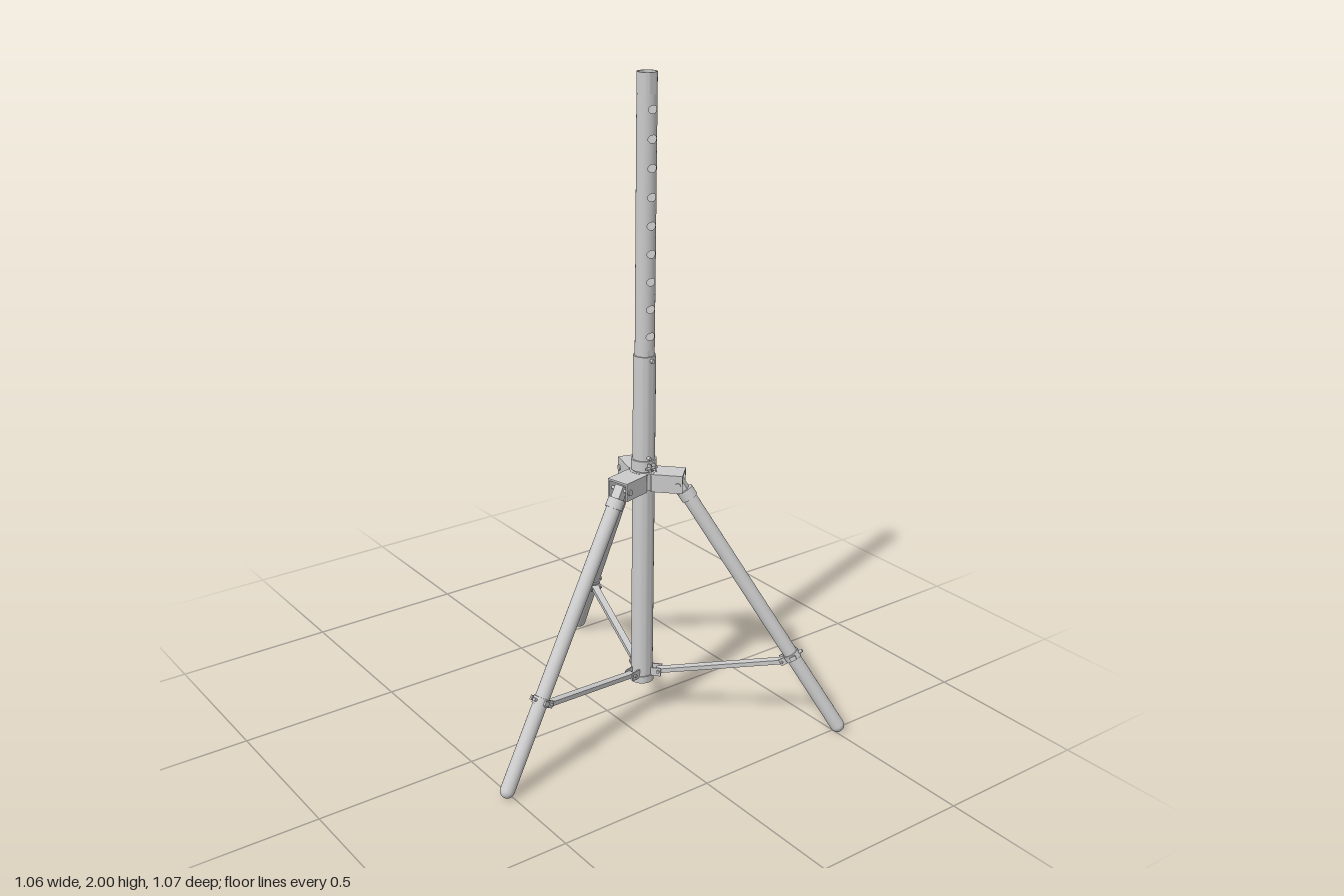
import * as THREE from 'three';
import { toCreasedNormals } from 'three/addons/utils/BufferGeometryUtils.js';
import { ParametricGeometry } from 'three/addons/geometries/ParametricGeometry.js';

const grey = new THREE.MeshStandardMaterial({ color: 0xcccccc });
const greyThin = new THREE.MeshStandardMaterial({ color: 0xcccccc, side: THREE.DoubleSide });

function add(parent, name, geometry, x = 0, y = 0, z = 0, material = grey) {
  const mesh = new THREE.Mesh(geometry, material);
  mesh.name = name;
  mesh.position.set(x, y, z);
  parent.add(mesh);
  return mesh;
}

// Hollow upright tube with crisp rims
function tube(rIn, rOut, y0, y1) {
  const profile = [[rIn, y0], [rOut, y0], [rOut, y1], [rIn, y1], [rIn, y0]];
  return toCreasedNormals(new THREE.LatheGeometry(profile.map(p => new THREE.Vector2(...p)), 40), 0.6);
}

// Inverted U channel running along +x from the origin, top face at y = 0
function channel(length, w, h, t) {
  const s = new THREE.Shape([
    [-w / 2, 0], [-w / 2, -h], [-w / 2 + t, -h], [-w / 2 + t, -t],
    [w / 2 - t, -t], [w / 2 - t, -h], [w / 2, -h], [w / 2, 0],
  ].map(p => new THREE.Vector2(...p)));
  return new THREE.ExtrudeGeometry(s, { depth: length, bevelEnabled: false }).rotateY(Math.PI / 2);
}

// Pin lying along z
const pin = (r, length) => new THREE.CylinderGeometry(r, r, length, 16).rotateX(Math.PI / 2);

// Patch of a cylinder wall around one oval hole
function holePatch(R, halfAngle, halfHeight, rx, ry) {
  return new ParametricGeometry((u, v, target) => {
    const c = Math.cos(-u * 2 * Math.PI), s = Math.sin(-u * 2 * Math.PI);
    const m = Math.max(Math.abs(c), Math.abs(s));
    const a = THREE.MathUtils.lerp(c * rx / R, c / m * halfAngle, v);
    const y = THREE.MathUtils.lerp(s * ry, s / m * halfHeight, v);
    target.set(R * Math.sin(a), y, R * Math.cos(a));
  }, 32, 4);
}

function createMast() {
  const mast = new THREE.Group();
  mast.name = 'mast';
  const R = 0.029, rIn = 0.0255, count = 9, first = 1.25, pitch = 0.0812, half = pitch / 2, w = 0.9;
  const low = first - half, high = first + (count - 0.5) * pitch;

  // Inner tube with a row of adjustment holes down the front
  add(mast, 'innerTubeBase', tube(rIn, R, 0.9, low));
  add(mast, 'innerTubeTop', tube(rIn, R, high, 2));
  add(mast, 'innerTubeWall', new THREE.CylinderGeometry(R, R, high - low, 40, 1, true, w, 2 * Math.PI - 2 * w),
    0, (low + high) / 2, 0, greyThin);
  const patch = holePatch(R, w, half, 0.015, 0.011);
  for (let i = 0; i < count; i++) add(mast, 'adjustmentHole', patch, 0, first + i * pitch, 0, greyThin);

  // Outer tube, its stop pin and collars
  add(mast, 'outerTube', tube(0.0292, 0.0335, 0.13, 1.19));
  for (const z of [-1, 1]) add(mast, 'stopPin', pin(0.006, 0.012), 0, 1.178, z * 0.037);
  add(mast, 'upperCollar', tube(0.033, 0.038, 0.835, 0.868));
  add(mast, 'bottomCollar', tube(0.029, 0.037, 0.125, 0.148));

  // Clamp lugs and bolt on the upper collar
  for (const x of [-0.011, 0.005])
    add(mast, 'clampLug', new THREE.BoxGeometry(0.004, 0.022, 0.018), x, 0.851, 0.044);
  add(mast, 'clampBolt', pin(0.004, 0.04).rotateY(Math.PI / 2), -0.006, 0.851, 0.047);
  add(mast, 'lockPin', pin(0.005, 0.014), -0.008, 0.878, 0.037);
  return mast;
}

// One leg with bracket and brace, built outward along +x
function createLegAssembly() {
  const side = new THREE.Group();
  side.name = 'legAssembly';

  // Hub arm: channel with a hinge pin
  add(side, 'hubArm', channel(0.094, 0.073, 0.056, 0.006), 0.028, 0.83, 0);
  add(side, 'hingePin', pin(0.005, 0.08), 0.108, 0.799, 0);
  for (const z of [-1, 1]) add(side, 'hingeBoltHead', pin(0.009, 0.005), 0.108, 0.799, z * 0.038);

  // Leg tube, local y running from the foot to the hinge
  const foot = new THREE.Vector2(0.612, 0.022), top = new THREE.Vector2(0.125, 0.772);
  const length = foot.distanceTo(top);
  const leg = new THREE.Group();
  leg.name = 'leg';
  leg.position.set(foot.x, foot.y, 0);
  leg.rotation.z = Math.atan2(foot.x - top.x, top.y - foot.y);
  side.add(leg);
  add(leg, 'legTube', new THREE.CylinderGeometry(0.022, 0.022, length, 32), 0, length / 2, 0);
  add(leg, 'roundedFoot', new THREE.SphereGeometry(0.022, 32, 12, 0, Math.PI * 2, Math.PI / 2));
  add(leg, 'legSocket', new THREE.CylinderGeometry(0.026, 0.026, 0.03, 32), 0, length - 0.012, 0);
  add(leg, 'hingeTongue', new THREE.BoxGeometry(0.026, 0.05, 0.03), 0, length + 0.018, 0);

  // Clamp around the leg, lugs toward the mast and a bolt on the outside
  const clampY = 0.272;
  add(leg, 'legClamp', tube(0.0215, 0.0255, -0.011, 0.011), 0, clampY, 0);
  for (const z of [-1, 1]) {
    add(leg, 'legClampLug', new THREE.BoxGeometry(0.02, 0.022, 0.004), -0.031, clampY, z * 0.014);
    add(leg, 'legClampEar', new THREE.BoxGeometry(0.02, 0.014, 0.006), 0.006, clampY, z * 0.027);
  }
  add(leg, 'legClampBolt', pin(0.004, 0.042), -0.034, clampY, 0);
  add(leg, 'legClampScrew', new THREE.CylinderGeometry(0.005, 0.005, 0.012, 12).rotateZ(Math.PI / 2), 0.03, clampY, 0);

  // Brace from the mast to the leg clamp
  const inner = new THREE.Vector2(0.046, 0.165), outer = new THREE.Vector2(0.446, 0.238);
  const brace = add(side, 'brace', channel(inner.distanceTo(outer), 0.022, 0.014, 0.003), inner.x, inner.y, 0);
  brace.rotation.z = Math.atan2(outer.y - inner.y, outer.x - inner.x);
  for (const z of [-1, 1])
    add(side, 'braceLug', new THREE.BoxGeometry(0.032, 0.028, 0.004), 0.046, 0.158, z * 0.014);
  add(side, 'braceBolt', pin(0.005, 0.042), 0.053, 0.16, 0);
  return side;
}

export function createModel() {
  const model = new THREE.Group();
  model.name = 'tripodStand';
  const body = new THREE.Group();
  body.name = 'stand';
  body.position.set(0.082, 0, 0.072);
  model.add(body);

  body.add(createMast());
  add(body, 'hubRing', tube(0.033, 0.042, 0.776, 0.8305));
  for (const degrees of [46, 166, 286]) {
    const side = createLegAssembly();
    side.rotation.y = -THREE.MathUtils.degToRad(degrees);
    body.add(side);
  }
  return model;
}
